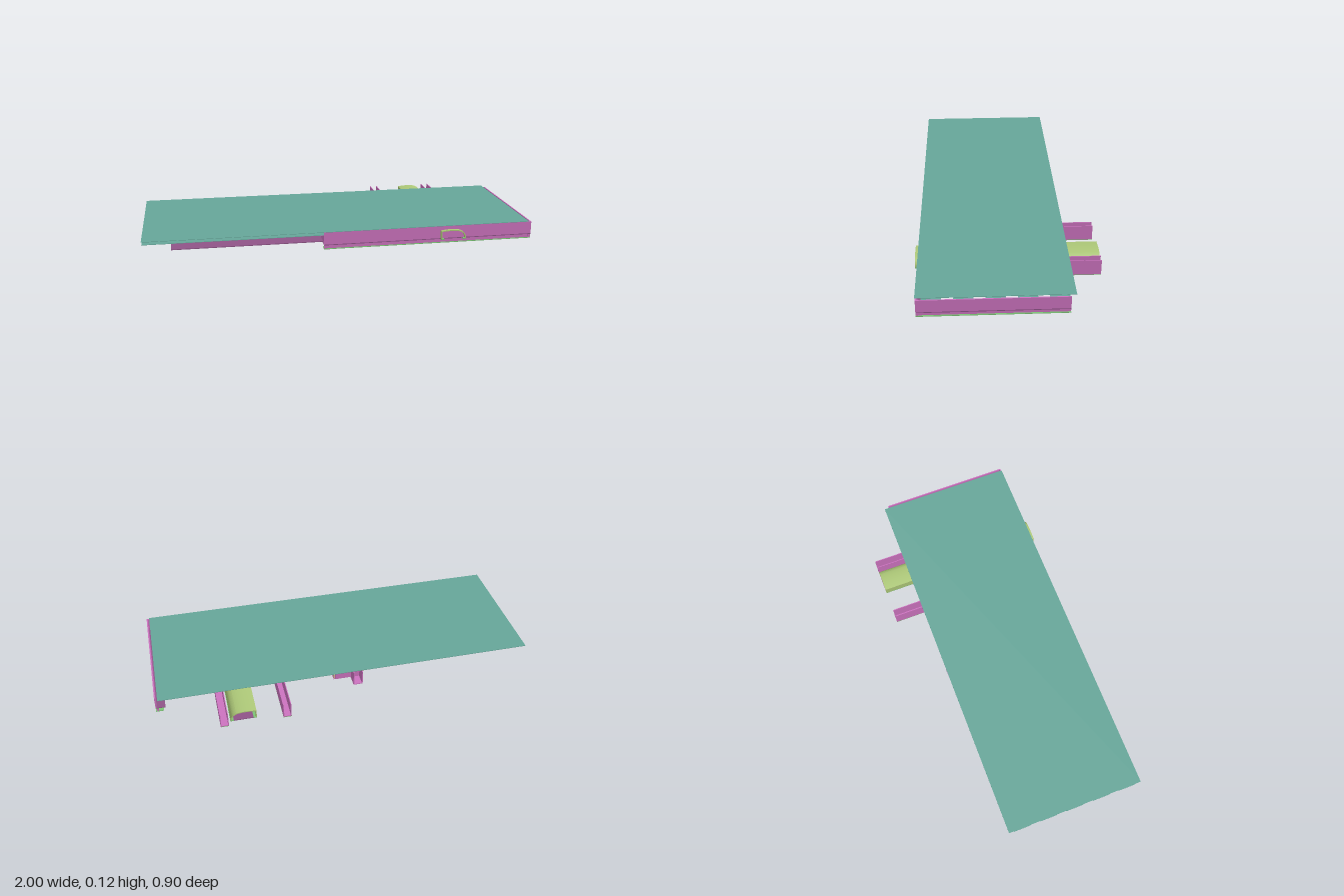
import * as THREE from 'three';

const mat = (color) => new THREE.MeshStandardMaterial({ color, side: THREE.DoubleSide });
const TEAL = mat(0x66a699), PINK = mat(0xcc73bf), PLUM = mat(0x8f5488);
const GREEN = mat(0x7cc476), OLIVE = mat(0xadc878), TAN = mat(0xd9b797);
const T = 0.004; // sheet thickness

export function createModel() {
  const model = new THREE.Group();

  // box given by its limits on each axis
  const box = (name, material, x0, x1, y0, y1, z0, z1, parent = model) => {
    const mesh = new THREE.Mesh(new THREE.BoxGeometry(x1 - x0, y1 - y0, z1 - z0), material);
    mesh.position.set((x0 + x1) / 2, (y0 + y1) / 2, (z0 + z1) / 2);
    mesh.name = name;
    parent.add(mesh);
    return mesh;
  };
  const group = (name) => {
    const g = new THREE.Group();
    g.name = name;
    model.add(g);
    return g;
  };

  // floor sheet and the flat ribs hung below it
  box('floorSheet', TEAL, -1, 0.985, 0.123, 0.125, -0.295, 0.435);
  const ribs = group('floorRibs');
  const count = 5, pitch = 0.73 / count;
  for (let i = 0; i < count; i++) {
    const z = -0.295 + (i + 0.5) * pitch;
    box('floorRib', TEAL, -1, 0.975, 0.099, 0.101, z - 0.046, z + 0.046, ribs);
  }

  // front edge rail: wall, ledge and green foot
  const front = group('frontEdgeRail');
  box('railWall', PINK, -0.1, 1, 0.058, 0.122, 0.426, 0.432, front);
  box('railLedge', PLUM, -0.1, 1, 0.054, 0.058, 0.38, 0.432, front);
  box('railLowerWall', PINK, -0.1, 1, 0.037, 0.054, 0.42, 0.428, front);
  box('railFoot', GREEN, -0.1, 1, 0.033, 0.037, 0.39, 0.432, front);

  // side edge rail with the same section
  const side = group('sideEdgeRail');
  box('railWall', PINK, 0.994, 1, 0.058, 0.122, -0.27, 0.432, side);
  box('railLedge', PLUM, 0.95, 1, 0.054, 0.058, -0.27, 0.432, side);
  box('railLowerWall', PINK, 0.986, 0.994, 0.037, 0.054, -0.27, 0.432, side);
  box('railFoot', GREEN, 0.96, 1, 0.033, 0.037, -0.27, 0.432, side);

  // cross rails: channels open at the top, with stepped tabs between the ribs
  const crossRail = (name, x, w, z0, z1) => {
    const g = group(name);
    for (const s of [-1, 1]) {
      const c = x + s * (w / 2 - T / 2);
      box('railSide', PINK, c - T / 2, c + T / 2, 0.03, 0.108, z0, z1, g);
      for (let i = 0; i < count; i++) {
        const z = -0.295 + (i + 0.5) * pitch;
        const a = x + s * w / 2, b = a + s * 0.03;
        if (z < z1) box('railTab', PINK, Math.min(a, b), Math.max(a, b), 0.094, 0.098, z - 0.04, z + 0.04, g);
      }
    }
    box('railBase', PINK, x - w / 2, x + w / 2, 0.028, 0.032, z0, z1, g);
    return g;
  };
  for (const x of [0.352, 0.672]) {
    const rail = crossRail('crossRail', x, 0.042, -0.452, 0.4);
    box('railBasePlate', GREEN, x - 0.021, x + 0.021, 0.025, 0.028, -0.452, -0.2, rail);
  }
  crossRail('innerCrossRail', -0.06, 0.05, -0.29, 0.42);

  // curved duct running across the floor, closed below by a flat cover
  const arch = new THREE.Shape();
  arch.moveTo(0.508, 0.058);
  arch.lineTo(0.508, 0.1);
  arch.quadraticCurveTo(0.575, 0.11, 0.61, 0.1);
  arch.quadraticCurveTo(0.64, 0.088, 0.64, 0.058);
  arch.lineTo(0.635, 0.058);
  arch.quadraticCurveTo(0.635, 0.084, 0.608, 0.095);
  arch.quadraticCurveTo(0.575, 0.105, 0.513, 0.096);
  arch.lineTo(0.513, 0.058);
  const duct = new THREE.Mesh(
    new THREE.ExtrudeGeometry(arch, { depth: 0.902, bevelEnabled: false, curveSegments: 10 }), OLIVE);
  duct.position.z = -0.452;
  duct.name = 'crossDuct';
  model.add(duct);
  box('crossDuctCover', PLUM, 0.525, 0.625, 0.055, 0.059, -0.452, 0.43);
  for (const x of [0.508, 0.625]) box('crossDuctLip', GREEN, x, x + 0.017, 0.054, 0.058, -0.452, 0.45);

  // long flat panels under the extended end
  box('rearPanel', PLUM, -0.87, -0.1, 0.063, 0.067, -0.22, -0.03);
  box('frontPanel', PLUM, -0.86, -0.1, 0.063, 0.067, 0.13, 0.4);
  for (const z of [-0.22, -0.034, 0.13])
    box('panelLip', GREEN, -0.86, -0.1, 0.067, 0.09, z, z + T);

  // long beam between the panels
  const beam = group('longBeam');
  for (const z of [0.045, 0.116]) box('beamSide', GREEN, -0.955, -0.1, 0.06, 0.105, z, z + T, beam);
  box('beamBase', GREEN, -0.955, -0.1, 0.06, 0.064, 0.045, 0.12, beam);

  // low tray with a sloped end, hung below the floor
  const tray = group('hangingTray');
  const section = new THREE.Shape();
  section.moveTo(-0.14, 0.058);
  section.lineTo(-0.085, 0.008);
  section.lineTo(0.05, 0.008);
  section.lineTo(0.05, 0.034);
  section.lineTo(-0.075, 0.034);
  section.lineTo(-0.1, 0.058);
  for (const [z, d] of [[-0.195, 0.035], [-0.07, 0.088]]) {
    const block = new THREE.Mesh(new THREE.ExtrudeGeometry(section, { depth: d, bevelEnabled: false }), TAN);
    block.position.z = z;
    block.name = 'trayBlock';
    tray.add(block);
  }
  box('trayCore', OLIVE, -0.08, 0.045, 0.01, 0.032, -0.16, -0.07, tray);
  box('trayBase', PINK, -0.085, 0.052, 0.005, 0.009, -0.195, 0.018, tray);
  box('trayCover', GREEN, -0.075, 0.04, 0, 0.005, -0.19, -0.06, tray);
  box('trayRim', PINK, -0.075, 0.052, 0, 0.005, -0.06, 0.018, tray);

  // mounting block joining the tray to the floor
  box('mountBlock', TAN, -0.26, -0.08, 0.104, 0.122, -0.2, 0.02);
  box('mountPlate', OLIVE, -0.26, -0.13, 0.058, 0.063, -0.2, -0.04);
  for (const z of [-0.23, 0.03]) box('mountBracket', PINK, -0.1, 0.05, 0.034, 0.1, z, z + 0.012);

  return model;
}
